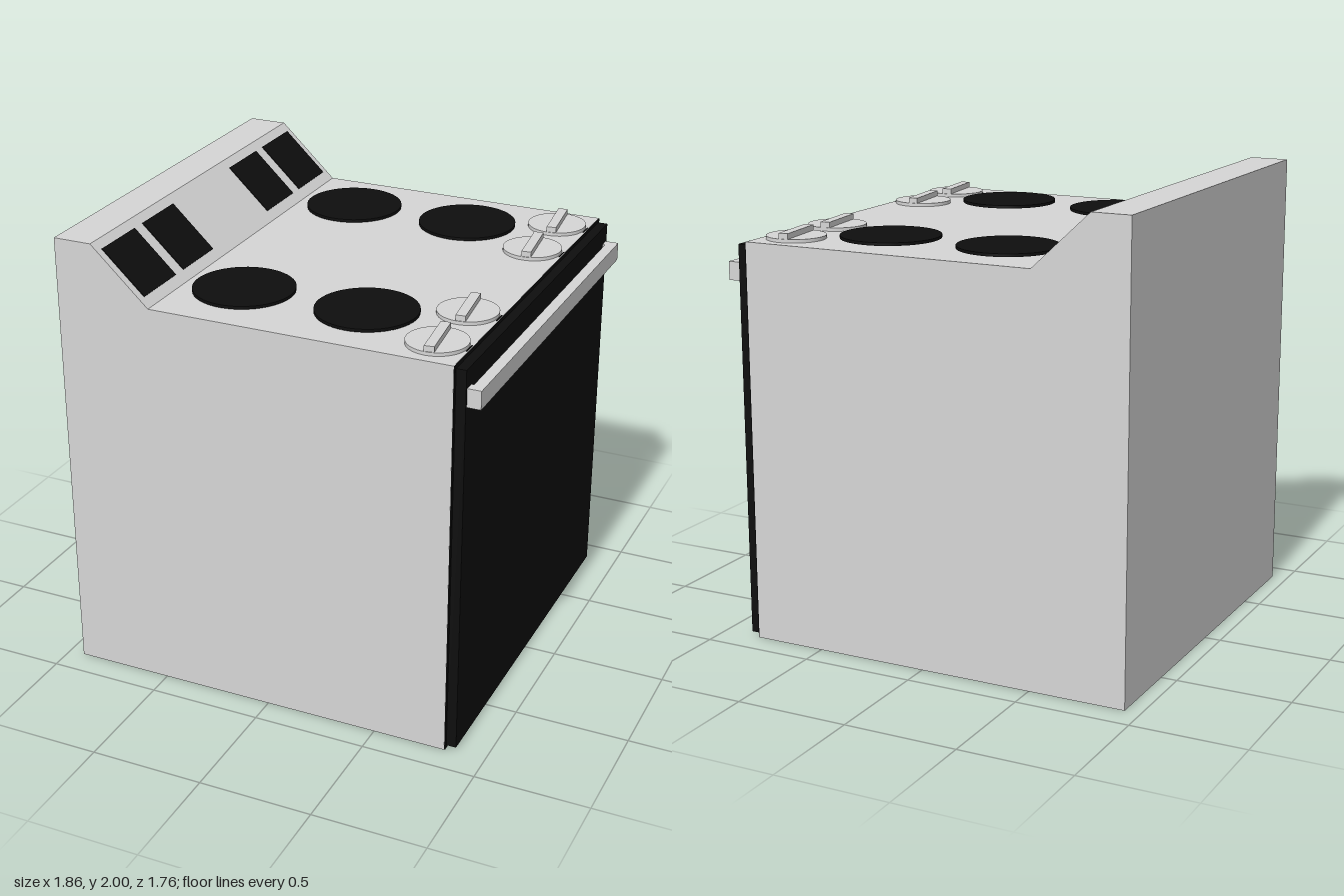
import * as THREE from 'three';

export function createModel() {
  const model = new THREE.Group();
  model.name = 'stove';
  const enamel = new THREE.MeshStandardMaterial({ color: 0xd6d6d6 });
  enamel.name = 'light grey enamel';
  const black = new THREE.MeshStandardMaterial({ color: 0x0e0e0e });
  black.name = 'black glass';

  const add = (parent, name, geometry, material, x, y, z) => {
    const mesh = new THREE.Mesh(geometry, material);
    mesh.name = name;
    mesh.position.set(x, y, z);
    parent.add(mesh);
    return mesh;
  };
  // Box given by its min and max corners
  const addBox = (name, material, [x0, y0, z0], [x1, y1, z1]) =>
    add(model, name, new THREE.BoxGeometry(x1 - x0, y1 - y0, z1 - z0), material,
      (x0 + x1) / 2, (y0 + y1) / 2, (z0 + z1) / 2);

  // Cabinet: side profile with the sloped back panel, extruded across the width
  const profile = new THREE.Shape([
    [-0.93, 0], [0.82, 0], [0.82, 1.76], [-0.505, 1.76], [-0.76, 2], [-0.93, 2],
  ].map(([x, y]) => new THREE.Vector2(x, y)));
  const cabinet = new THREE.ExtrudeGeometry(profile, { depth: 1.76, bevelEnabled: false });
  add(model, 'cabinet', cabinet, enamel, 0, 0, -0.88);

  // Black front facing and the oven door over it
  addBox('frontFacing', black, [0.819, 0.001, -0.879], [0.824, 1.759, 0.879]);
  addBox('ovenDoor', black, [0.824, 0.015, -0.865], [0.867, 1.745, 0.865]);

  // Door handle: bar on two end posts
  addBox('handleBar', enamel, [0.878, 1.585, -0.855], [0.926, 1.665, 0.855]);
  for (const s of [-1, 1]) {
    const post = add(model, 'handlePost', new THREE.BoxGeometry(0.012, 0.08, 0.045), enamel,
      0.872, 1.625, s * 0.8325);
    post.updateMatrix();
  }

  // Display plates lying on the slope
  const slope = Math.atan2(0.24, -0.255);
  const plate = new THREE.BoxGeometry(0.258, 0.006, 0.26);
  for (const z of [-0.715, -0.39, 0.39, 0.715]) {
    const display = add(model, 'displayPlate', plate, black, -0.634, 1.883, z);
    display.rotation.z = slope;
  }

  // Burners: wide disc on a smaller foot
  const disc = new THREE.CylinderGeometry(0.215, 0.215, 0.013, 48);
  const foot = new THREE.CylinderGeometry(0.12, 0.12, 0.01, 32);
  for (const x of [-0.24, 0.313]) {
    for (const z of [-0.547, 0.547]) {
      const burner = new THREE.Group();
      burner.name = 'burner';
      burner.position.set(x, 1.76, z);
      add(burner, 'burnerDisc', disc, black, 0, 0.0145, 0);
      add(burner, 'burnerFoot', foot, black, 0, 0.004, 0);
      model.add(burner);
    }
  }

  // Knobs: flat dial with a slightly turned grip, and an index mark at the edge
  const dial = new THREE.CylinderGeometry(0.128, 0.128, 0.015, 48);
  const grip = new THREE.BoxGeometry(0.042, 0.025, 0.248);
  const mark = new THREE.BoxGeometry(0.005, 0.003, 0.06);
  for (const z of [-0.705, -0.38, 0.38, 0.705]) {
    const knob = new THREE.Group();
    knob.name = 'knob';
    knob.position.set(0.682, 1.76, z);
    add(knob, 'knobDial', dial, enamel, 0, 0.0075, 0);
    add(knob, 'knobGrip', grip, enamel, 0, 0.0265, 0).rotation.y = 0.12;
    add(knob, 'knobMark', mark, black, 0.133, 0.001, 0);
    model.add(knob);
  }
  return model;
}
